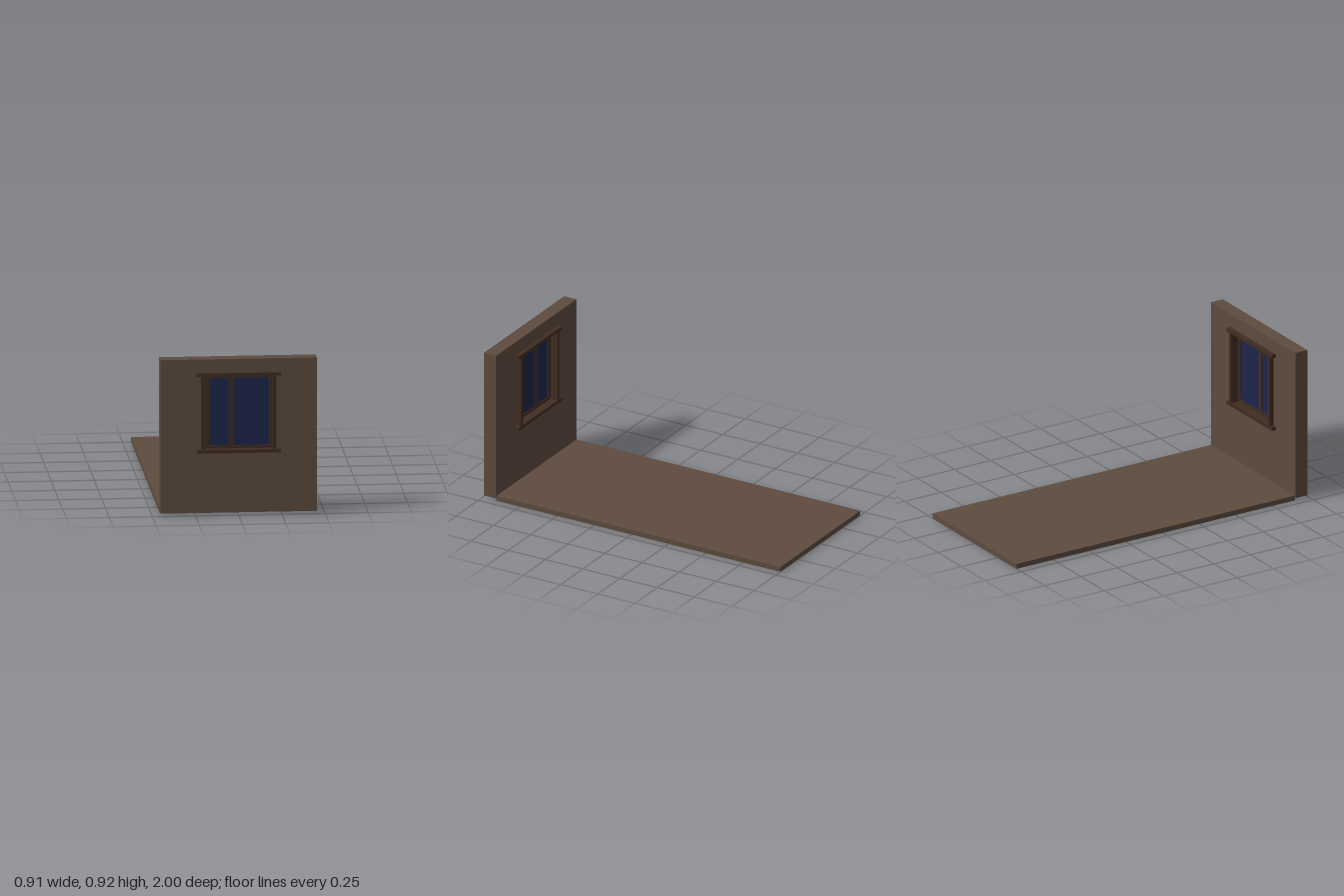
import * as THREE from 'three';

export function createModel() {
  const model = new THREE.Group();
  const plaster = new THREE.MeshStandardMaterial({ color: 0x5e4b3e });
  const wood = new THREE.MeshStandardMaterial({ color: 0x402c21 });
  const glass = new THREE.MeshStandardMaterial({ color: 0x1e264b });

  // Box given by its limits on each axis
  function block(parent, name, material, [x0, x1], [y0, y1], [z0, z1]) {
    const mesh = new THREE.Mesh(new THREE.BoxGeometry(x1 - x0, y1 - y0, z1 - z0), material);
    mesh.position.set((x0 + x1) / 2, (y0 + y1) / 2, (z0 + z1) / 2);
    mesh.name = name;
    parent.add(mesh);
  }

  // Rectangular panel in the xy plane with rectangular openings
  function panel(parent, name, material, [x0, x1], [y0, y1], [z0, z1], openings) {
    const corners = (a, b, c, d) => [[a, c], [b, c], [b, d], [a, d]].map(p => new THREE.Vector2(...p));
    const shape = new THREE.Shape(corners(x0, x1, y0, y1));
    for (const [a, b, c, d] of openings) shape.holes.push(new THREE.Path(corners(a, b, c, d).reverse()));
    const geometry = new THREE.ExtrudeGeometry(shape, { depth: z1 - z0, bevelEnabled: false });
    const mesh = new THREE.Mesh(geometry, material);
    mesh.position.z = z0;
    mesh.name = name;
    parent.add(mesh);
  }

  // Floor slab and wall with the window opening
  block(model, 'floor', plaster, [-0.45, 0.45], [0, 0.03], [-1, 0.908]);
  panel(model, 'wall', plaster, [-0.453, 0.453], [0.015, 0.922], [0.908, 0.99],
    [[-0.217, 0.217, 0.37, 0.837]]);

  // Window casing: lintel and sill run past the side jambs
  const win = new THREE.Group();
  win.name = 'window';
  model.add(win);
  block(win, 'lintel', wood, [-0.243, 0.243], [0.82, 0.84], [0.88, 1]);
  block(win, 'sill', wood, [-0.243, 0.243], [0.367, 0.387], [0.88, 1]);
  for (const [name, side] of [['rightJamb', -1], ['leftJamb', 1]]) {
    const edges = [side * 0.196, side * 0.218].sort((a, b) => a - b);
    block(win, name, wood, edges, [0.387, 0.82], [0.881, 0.992]);
  }

  // Recessed sash with a narrow and a wide pane
  const panes = [[-0.17, -0.055, 0.407, 0.803], [-0.025, 0.18, 0.404, 0.803]];
  panel(win, 'sash', wood, [-0.196, 0.196], [0.387, 0.82], [0.93, 0.96], panes);
  panes.forEach(([a, b, c, d], i) =>
    block(win, i ? 'widePane' : 'narrowPane', glass, [a, b], [c, d], [0.936, 0.954]));

  return model;
}
